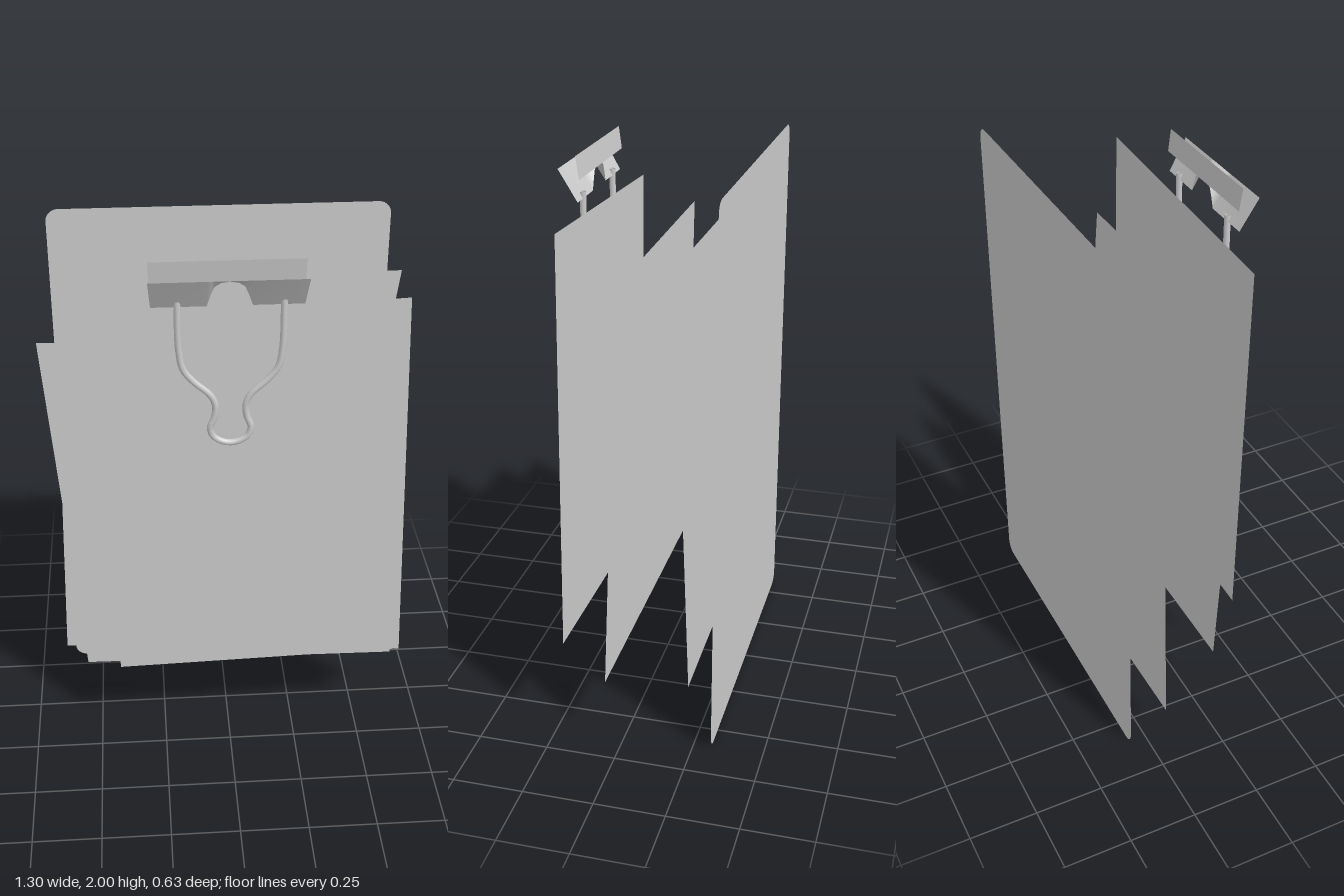
import * as THREE from 'three';

const material = new THREE.MeshStandardMaterial({ color: 0xcccccc, side: THREE.DoubleSide });

function addMesh(group, name, geometry, z = 0) {
  const mesh = new THREE.Mesh(geometry, material);
  mesh.name = name;
  mesh.position.z = z;
  group.add(mesh);
}

function roundedRect(x, y0, y1, r) {
  const s = new THREE.Shape();
  s.absarc(x - r, y0 + r, r, -Math.PI / 2, 0);
  s.absarc(x - r, y1 - r, r, 0, Math.PI / 2);
  s.absarc(-x + r, y1 - r, r, Math.PI / 2, Math.PI);
  s.absarc(-x + r, y0 + r, r, Math.PI, Math.PI * 1.5);
  return s;
}

// Ruled strip between an upper and a lower line of [x, y, z] points
function ruled(top, bottom) {
  const pos = [], index = [];
  top.forEach((p, i) => {
    pos.push(...p, ...bottom[i]);
    if (i) {
      const a = 2 * i - 2;
      index.push(a, a + 1, a + 2, a + 1, a + 3, a + 2);
    }
  });
  const g = new THREE.BufferGeometry();
  g.setAttribute('position', new THREE.Float32BufferAttribute(pos, 3));
  g.setIndex(index);
  g.computeVertexNormals();
  return g;
}

export function createModel() {
  const model = new THREE.Group();
  model.name = 'clipboard';

  // Backing board, paper thin
  addMesh(model, 'board', new THREE.ShapeGeometry(roundedRect(0.613, 0, 1.975, 0.045), 6), -0.315);

  // Loose skewed sheets floating in front of the board
  const sheets = [
    ['backSheet', -0.185, [[-0.64, 0.15], [0.42, 0.11], [0.64, 1.765], [-0.59, 1.75]]],
    ['middleSheet', 0.06, [[-0.545, 0.255], [0.65, 0.24], [0.45, 1.625], [-0.65, 1.64]]],
    ['frontSheet', 0.21, [[-0.415, 0.345], [0.65, 0.375], [0.597, 1.835], [-0.437, 1.785]]],
  ];
  for (const [name, z, corners] of sheets) {
    const shape = new THREE.Shape(corners.map(([x, y]) => new THREE.Vector2(x, y)));
    addMesh(model, name, new THREE.ShapeGeometry(shape), z);
  }

  const clip = new THREE.Group();
  clip.name = 'clip';
  model.add(clip);

  // Upright rear strip of the clip
  addMesh(clip, 'clipRearStrip', ruled(
    [[-0.267, 2, 0.254], [0.243, 2, 0.254]],
    [[-0.265, 1.92, 0.243], [0.241, 1.92, 0.243]]));

  // Flared jaw: straight upper lip, lower edge rising into an arch
  const arch = [[-0.262, 1.843], [-0.08, 1.843], [-0.067, 1.88], [-0.055, 1.908], [-0.035, 1.921], [-0.005, 1.926],
    [0.025, 1.921], [0.045, 1.908], [0.057, 1.88], [0.07, 1.843], [0.24, 1.843]];
  addMesh(clip, 'clipJaw', ruled(
    arch.map(([x], i) => [i === 0 ? -0.27 : i === arch.length - 1 ? 0.247 : x, 1.955, 0.315]),
    arch.map(([x, y]) => [x, y, 0.25])));

  // Bent wire handle, mirrored about its middle
  const half = [[0.174, 1.865], [0.171, 1.69], [0.158, 1.62], [0.125, 1.575], [0.067, 1.52], [0.051, 1.48],
    [0.056, 1.435], [0.069, 1.4], [0.06, 1.365], [0.03, 1.344]];
  const path = [...half, [0, 1.338], ...half.map(([x, y]) => [-x, y]).reverse()]
    .map(([x, y]) => new THREE.Vector3(x - 0.002, y, 0.253));
  const curve = new THREE.CatmullRomCurve3(path, false, 'centripetal');
  addMesh(clip, 'wireHandle', new THREE.TubeGeometry(curve, 80, 0.0115, 8));

  return model;
}
